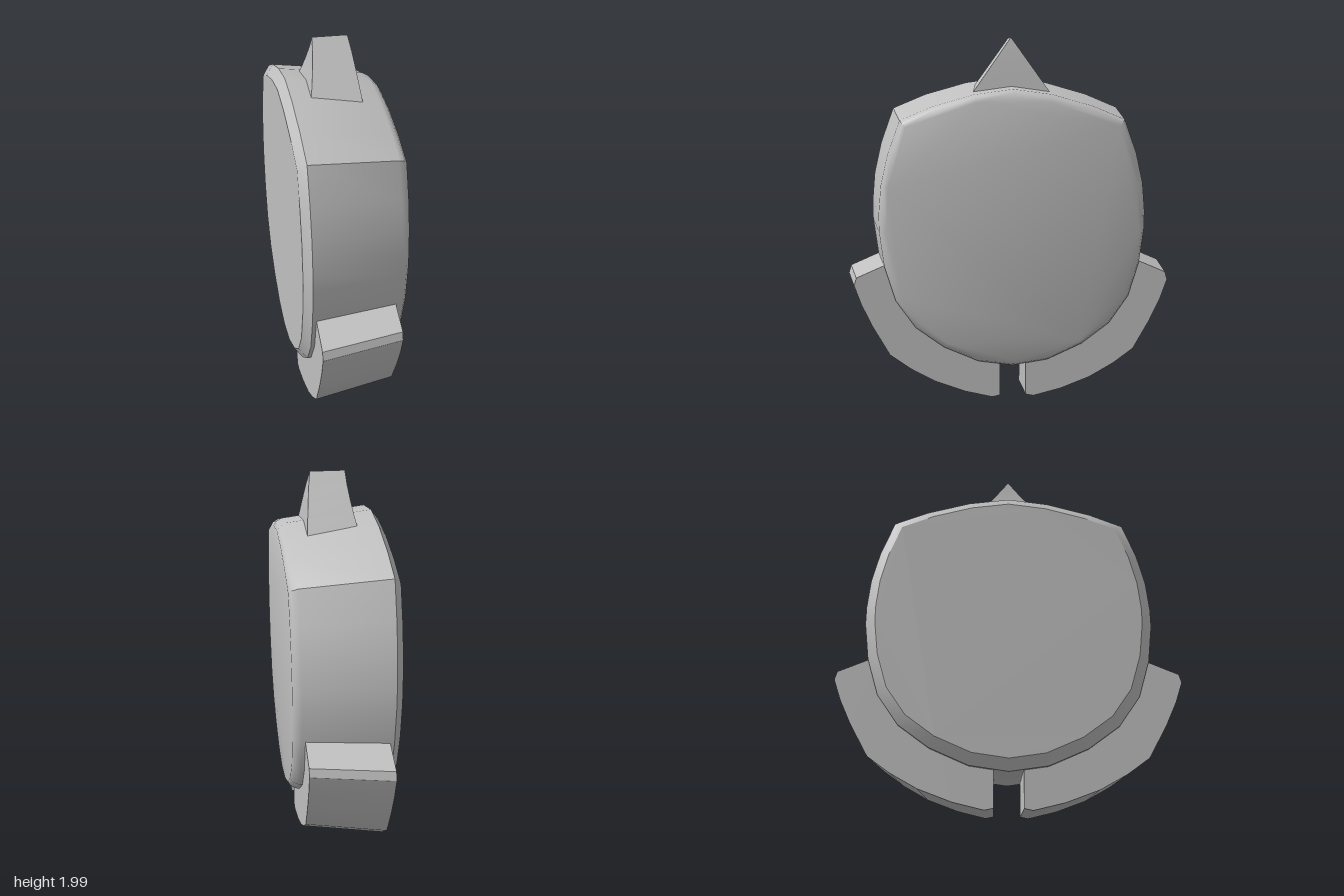
import * as THREE from 'three';
import { toCreasedNormals } from 'three/addons/utils/BufferGeometryUtils.js';

// Loft an outline of [u, y] points (u = -z, counter-clockwise from +x)
// through stations of [x, scale about y = 1], with a cap on both ends.
function loft(outline, stations, crease) {
  const n = outline.length, pos = [], idx = [];
  for (const [x, s] of stations)
    for (const [u, y] of outline) pos.push(x, 1 + (y - 1) * s, -u * s);
  for (let k = 0; k < stations.length - 1; k++)
    for (let i = 0; i < n; i++) {
      const j = (i + 1) % n, a = k * n + i, b = k * n + j;
      idx.push(a, b, b + n, a, b + n, a + n);
    }
  const last = (stations.length - 1) * n;
  const flat = outline.map(([u, y]) => new THREE.Vector2(u, y));
  for (const [a, b, c] of THREE.ShapeUtils.triangulateShape(flat, [])) {
    idx.push(last + a, last + b, last + c);
    idx.push(a, c, b);
  }
  const g = new THREE.BufferGeometry();
  g.setAttribute('position', new THREE.Float32BufferAttribute(pos, 3));
  g.setIndex(idx);
  return toCreasedNormals(g, crease);
}

const mirror = (pts) => pts.map(([u, y]) => [-u, y]).reverse();

export function createModel() {
  const group = new THREE.Group();
  const grey = new THREE.MeshStandardMaterial({ color: 0xc0c0c0 });
  const add = (name, geometry) => {
    const mesh = new THREE.Mesh(geometry, grey);
    mesh.name = name;
    group.add(mesh);
  };

  // Thick tapered disc with two shoulder corners and bevelled rims
  const half = [
    [0.2, 0.23], [0.4, 0.32], [0.56, 0.44], [0.67, 0.6], [0.73, 0.8],
    [0.755, 1.0], [0.755, 1.1], [0.74, 1.26], [0.7, 1.43], [0.63, 1.62],
    [0.45, 1.695], [0.22, 1.76],
  ];
  const outline = [[0, 0.2], ...half, [0, 1.79], ...mirror(half)];
  add('body', loft(outline,
    [[-0.27, 0.93], [-0.23, 1], [0.22, 0.93], [0.25, 0.91], [0.265, 0.88]], 0.6));

  // Two curved guards wrapping the lower rim, with a gap between them
  const guard = [
    [0.075, 0.02], [0.12, 0.01], [0.28, 0.05], [0.45, 0.115], [0.59, 0.195],
    [0.705, 0.28], [0.8, 0.45], [0.86, 0.58], [0.898, 0.69], [0.885, 0.735],
    [0.69, 0.82], [0.55, 0.75], [0.38, 0.5], [0.075, 0.36],
  ];
  const ends = [[-0.21, 1], [0.205, 0.935]];
  add('backGuard', loft(guard, ends, 0.5));
  add('frontGuard', loft(mirror(guard), ends, 0.5));

  // Wedge-shaped fin on top, flaring towards its base
  const fin = new THREE.BoxGeometry(1, 1, 1, 1, 5, 1);
  const p = fin.attributes.position;
  for (let i = 0; i < p.count; i++) {
    const t = 0.5 - p.getY(i);
    const x = p.getX(i) < 0 ? -0.09 - 0.06 * t ** 1.5 : 0.09 + 0.045 * t ** 0.8;
    p.setXYZ(i, x, 2 - 0.34 * t, Math.sign(p.getZ(i)) * 0.243 * t);
  }
  add('topFin', toCreasedNormals(fin, 0.5));

  return group;
}
